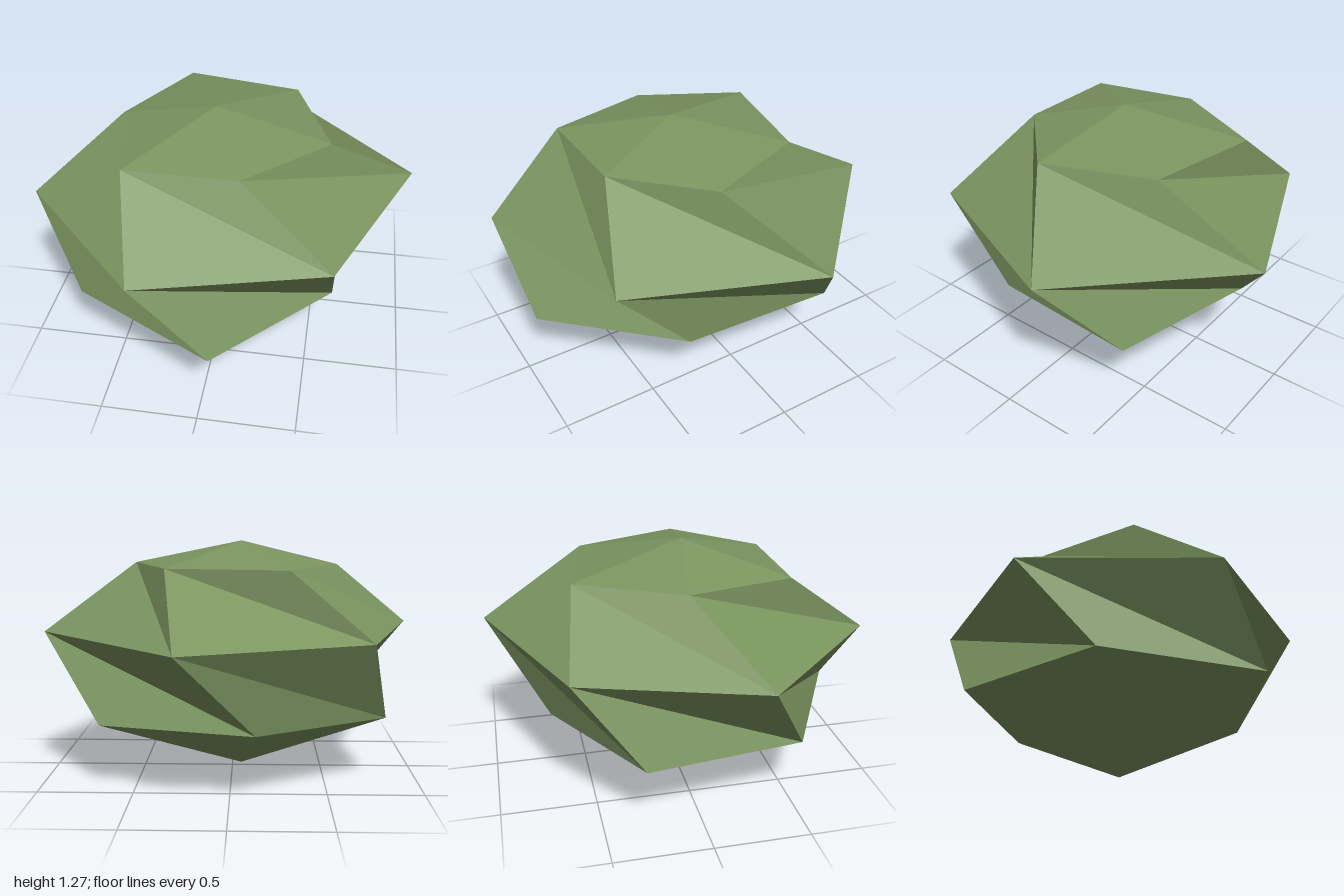
import * as THREE from 'three';

// Faceted clump: three irregular six-sided rings, each twisted against the next, closed by two apexes.
const CENTRE = [-0.05, 0.05];
const TOP_Y = 1.275;
const RINGS = [
  { y: 1.15, points: [[-0.44, 0.53], [0.14, 0.535], [0.55, 0.13], [0.33, -0.44], [-0.295, -0.56], [-0.57, -0.03]] },
  { y: 0.8, points: [[-0.32, 0.99], [0.62, 0.74], [1, -0.22], [0.24, -1], [-0.71, -0.63], [-1, 0.28]] },
  { y: 0.355, points: [[0.05, 0.94], [0.62, 0.34], [0.67, -0.49], [-0.13, -0.69], [-0.82, -0.29], [-0.71, 0.54]] },
];

function clumpGeometry() {
  const positions = [];
  const face = (...corners) => corners.forEach((c) => positions.push(...c));
  const rings = RINGS.map(({ y, points }) => points.map(([x, z]) => [x, y, z]));
  const top = [CENTRE[0], TOP_Y, CENTRE[1]];
  const bottom = [CENTRE[0], 0, CENTRE[1]];
  const sides = rings[0].length;

  for (let i = 0; i < sides; i++) {
    const j = (i + 1) % sides;
    // crown
    face(top, rings[0][i], rings[0][j]);
    // twisted bands between neighbouring rings
    for (let r = 0; r < rings.length - 1; r++) {
      const upper = rings[r];
      const lower = rings[r + 1];
      face(upper[i], lower[i], lower[j]);
      face(upper[i], lower[j], upper[j]);
    }
    // underside
    const last = rings[rings.length - 1];
    face(last[i], bottom, last[j]);
  }

  const geometry = new THREE.BufferGeometry();
  geometry.setAttribute('position', new THREE.Float32BufferAttribute(positions, 3));
  geometry.computeVertexNormals(); // unshared corners keep every facet flat
  return geometry;
}

export function createModel() {
  const model = new THREE.Group();
  model.name = 'bush';

  const leafGreen = new THREE.MeshStandardMaterial({ color: 0x7a945f });
  leafGreen.name = 'leafGreen';
  leafGreen.flatShading = true;

  const foliage = new THREE.Mesh(clumpGeometry(), leafGreen);
  foliage.name = 'foliage';
  model.add(foliage);
  return model;
}
